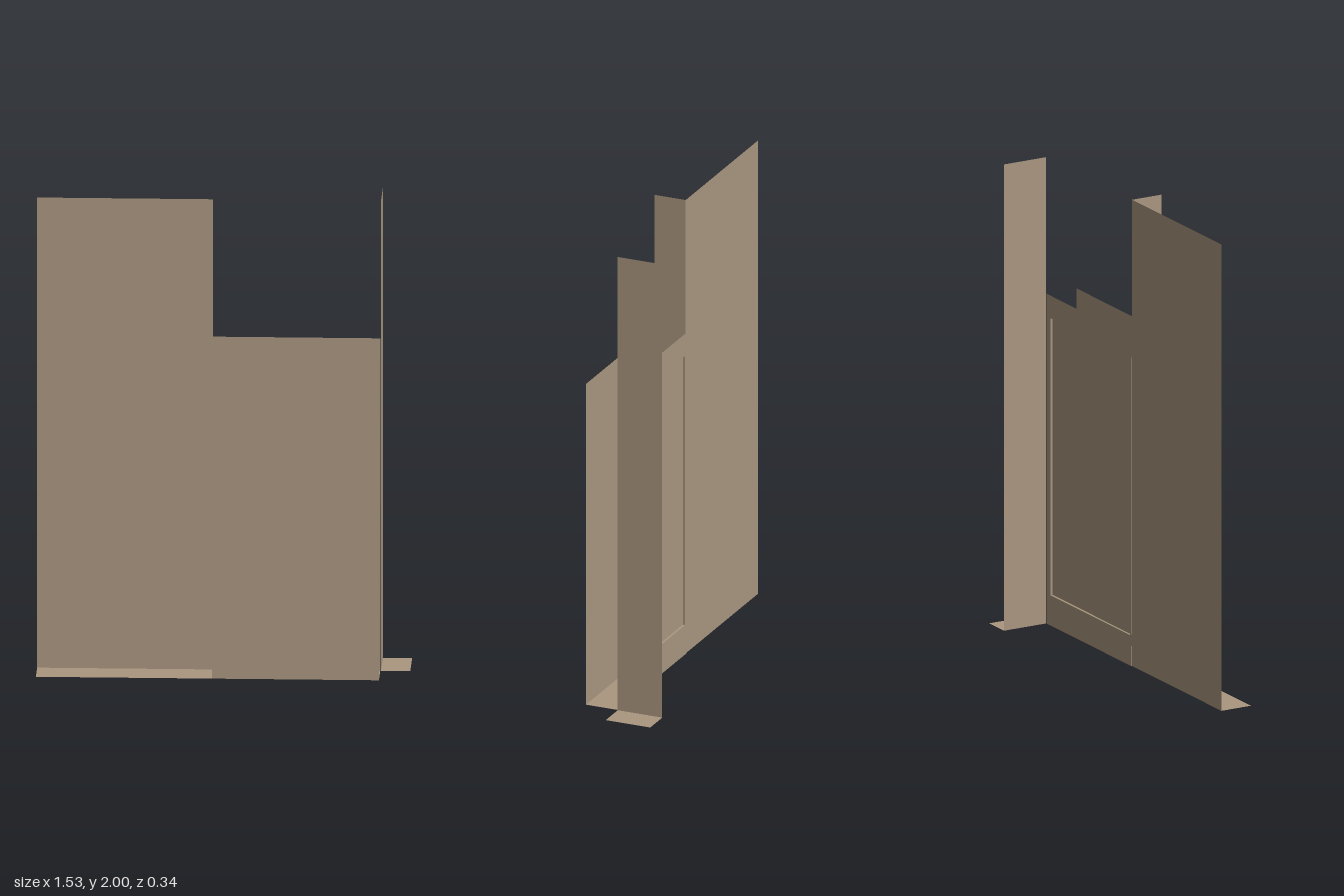
import * as THREE from 'three';

const taupe = new THREE.MeshStandardMaterial({ color: 0xaa9780, side: THREE.DoubleSide });
taupe.name = 'taupe';

export function createModel() {
  const root = new THREE.Group();
  root.name = 'wallPanels';

  function add(name, geometry) {
    const mesh = new THREE.Mesh(geometry, taupe);
    mesh.name = name;
    root.add(mesh);
  }
  // Sheets lying across x, y or z
  function sheetX(name, x, y0, y1, z0, z1) {
    add(name, new THREE.PlaneGeometry(z1 - z0, y1 - y0).rotateY(Math.PI / 2)
      .translate(x, (y0 + y1) / 2, (z0 + z1) / 2));
  }
  function sheetY(name, y, x0, x1, z0, z1) {
    add(name, new THREE.PlaneGeometry(x1 - x0, z1 - z0).rotateX(-Math.PI / 2)
      .translate((x0 + x1) / 2, y, (z0 + z1) / 2));
  }
  function sheetZ(name, z, x0, x1, y0, y1) {
    add(name, new THREE.PlaneGeometry(x1 - x0, y1 - y0)
      .translate((x0 + x1) / 2, (y0 + y1) / 2, z));
  }

  const left = -0.765, mid = -0.043, right = 0.642;
  const back = 0.032, front = 0.172, tall = 2, low = 1.415;

  // Tall wall with its full-height return
  sheetZ('tallWall', back, left, mid, 0, tall);
  sheetX('wallReturn', mid, 0, tall, back, front);

  // Low front wall
  sheetZ('lowFrontWall', front, mid, right, 0, low);

  // Low back wall with an opening for the recessed panel
  const zBack = 0.029, zRecess = 0.039;
  const x0 = -0.03, x1 = 0.61, y0 = 0.13, y1 = 1.318;
  const rect = (Type, a, b, c, d) => new Type([
    new THREE.Vector2(a, c), new THREE.Vector2(b, c),
    new THREE.Vector2(b, d), new THREE.Vector2(a, d),
  ]);
  const wall = rect(THREE.Shape, mid, right, 0, low);
  wall.holes.push(rect(THREE.Path, x0, x1, y0, y1));
  add('lowBackWall', new THREE.ShapeGeometry(wall).translate(0, 0, zBack));

  // Recessed panel and its four reveals
  sheetZ('recessPanel', zRecess, x0, x1, y0, y1);
  for (const x of [x0, x1]) sheetX('recessSide', x, y0, y1, zBack, zRecess);
  for (const y of [y0, y1]) sheetY('recessLedge', y, x0, x1, zBack, zRecess);

  // Side wall running backwards
  sheetX('sideWall', 0.645, 0, tall, -0.172, 0.028);

  // Floor strips
  sheetY('frontFloor', 0, left, right, back, front);
  sheetY('sideFloor', 0, 0.645, 0.765, -0.172, 0.028);

  return root;
}
